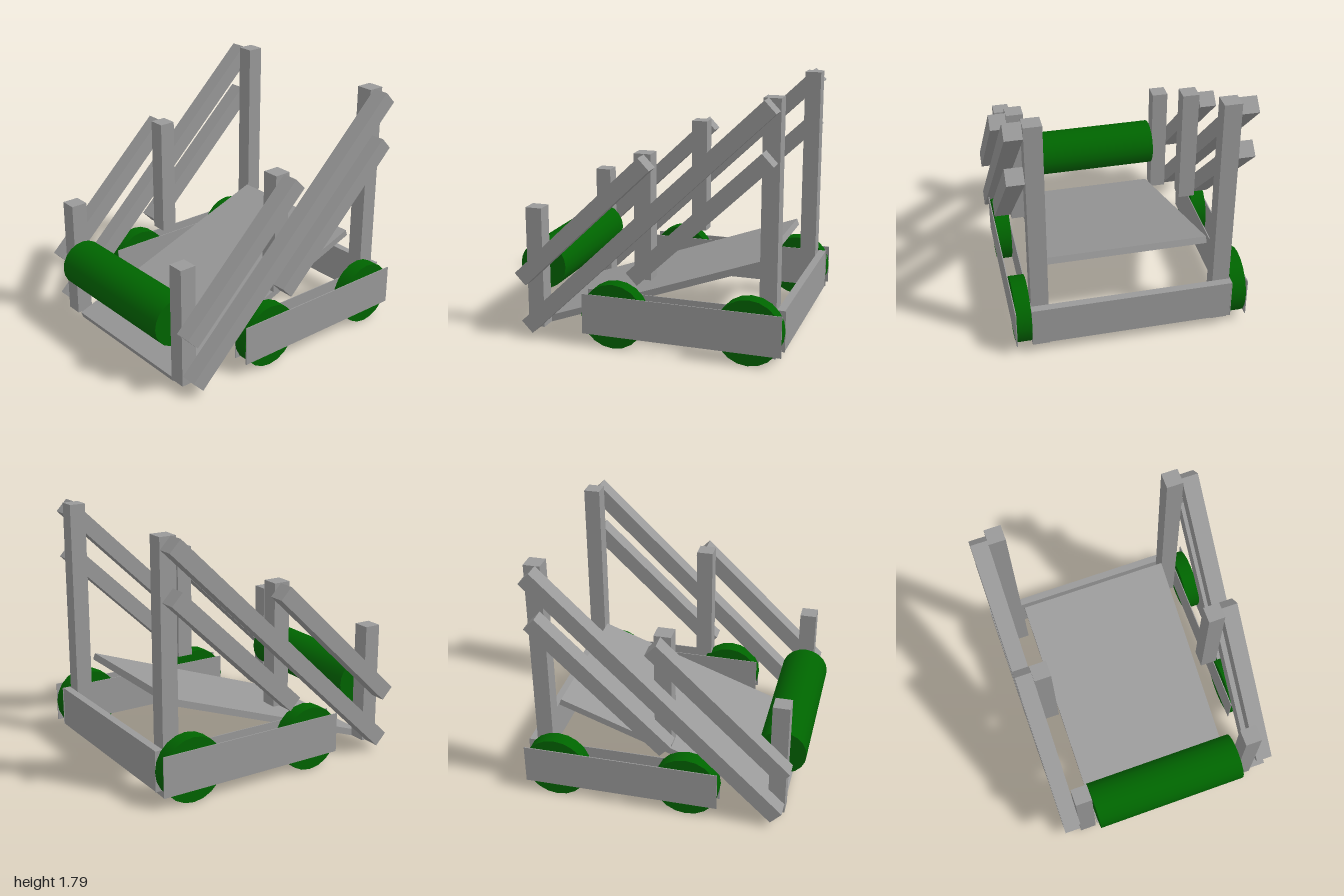
import * as THREE from 'three';

const grey = new THREE.MeshStandardMaterial({ color: 0x999999 });
const green = new THREE.MeshStandardMaterial({ color: 0x006400 });

export function createModel() {
  const model = new THREE.Group();
  model.name = 'conveyorMachine';

  function add(name, geometry, material, x, y, z) {
    const mesh = new THREE.Mesh(geometry, material);
    mesh.name = name;
    mesh.position.set(x, y, z);
    model.add(mesh);
    return mesh;
  }

  // Box given by its [min, max] range on each axis
  function block(name, [x0, x1], [y0, y1], [z0, z1]) {
    return add(name, new THREE.BoxGeometry(x1 - x0, y1 - y0, z1 - z0), grey,
      (x0 + x1) / 2, (y0 + y1) / 2, (z0 + z1) / 2);
  }

  // Sloping bar centred on x, running between two [z, y] points
  function slope(name, x, width, thickness, [z0, y0], [z1, y1]) {
    const dz = z1 - z0, dy = y1 - y0;
    const bar = add(name, new THREE.BoxGeometry(width, thickness, Math.hypot(dz, dy)), grey,
      x, (y0 + y1) / 2, (z0 + z1) / 2);
    bar.rotation.x = -Math.atan2(dy, dz);
    return bar;
  }

  // Cylinder lying along x
  function roller(name, x, y, z, radius, width) {
    const geometry = new THREE.CylinderGeometry(radius, radius, width, 20);
    geometry.rotateZ(Math.PI / 2);
    return add(name, geometry, green, x, y, z);
  }

  for (const [side, s] of [['left', 1], ['right', -1]]) {
    const range = (a, b) => (s > 0 ? [a, b] : [-b, -a]);
    const postX = range(0.582, 0.703);

    // Upright posts, stepping up toward the back
    block(side + 'FrontPost', postX, [0.047, 0.926], [0.765, 0.885]);
    block(side + 'MiddlePost', postX, [0.487, 1.367], [-0.05, 0.07]);
    block(side + 'BackPost', postX, [0.026, 1.786], [-0.93, -0.812]);

    // Diagonal braces on the outside of the posts
    const braceX = s * 0.763;
    slope(side + 'LongBrace', braceX, 0.12, 0.115, [0.842, 0.083], [-0.887, 1.746]);
    slope(side + 'FrontBrace', braceX, 0.12, 0.115, [0.885, 0.433], [-0.042, 1.322]);
    slope(side + 'BackBrace', braceX, 0.12, 0.115, [0.05, 0.522], [-0.877, 1.407]);

    // Wheels held between a thin inner and a thin outer plank
    roller(side + 'FrontWheel', s * 0.762, 0.232, 0.195, 0.232, 0.106);
    roller(side + 'BackWheel', s * 0.762, 0.232, -0.765, 0.232, 0.106);
    block(side + 'OuterPlank', range(0.815, 0.822), [0.087, 0.377], [-0.995, 0.42]);
    block(side + 'InnerPlank', range(0.703, 0.709), [0.087, 0.377], [-0.995, 0.42]);
  }

  // Back crossbeam, sloping bed and front drum
  block('backCrossbeam', [-0.703, 0.703], [0.087, 0.377], [-0.99, -0.935]);
  slope('slopingBed', 0, 1.13, 0.048, [0.865, 0.03], [-0.793, 0.634]);
  roller('frontDrum', 0, 0.464, 0.8265, 0.1735, 1.13);

  return model;
}
